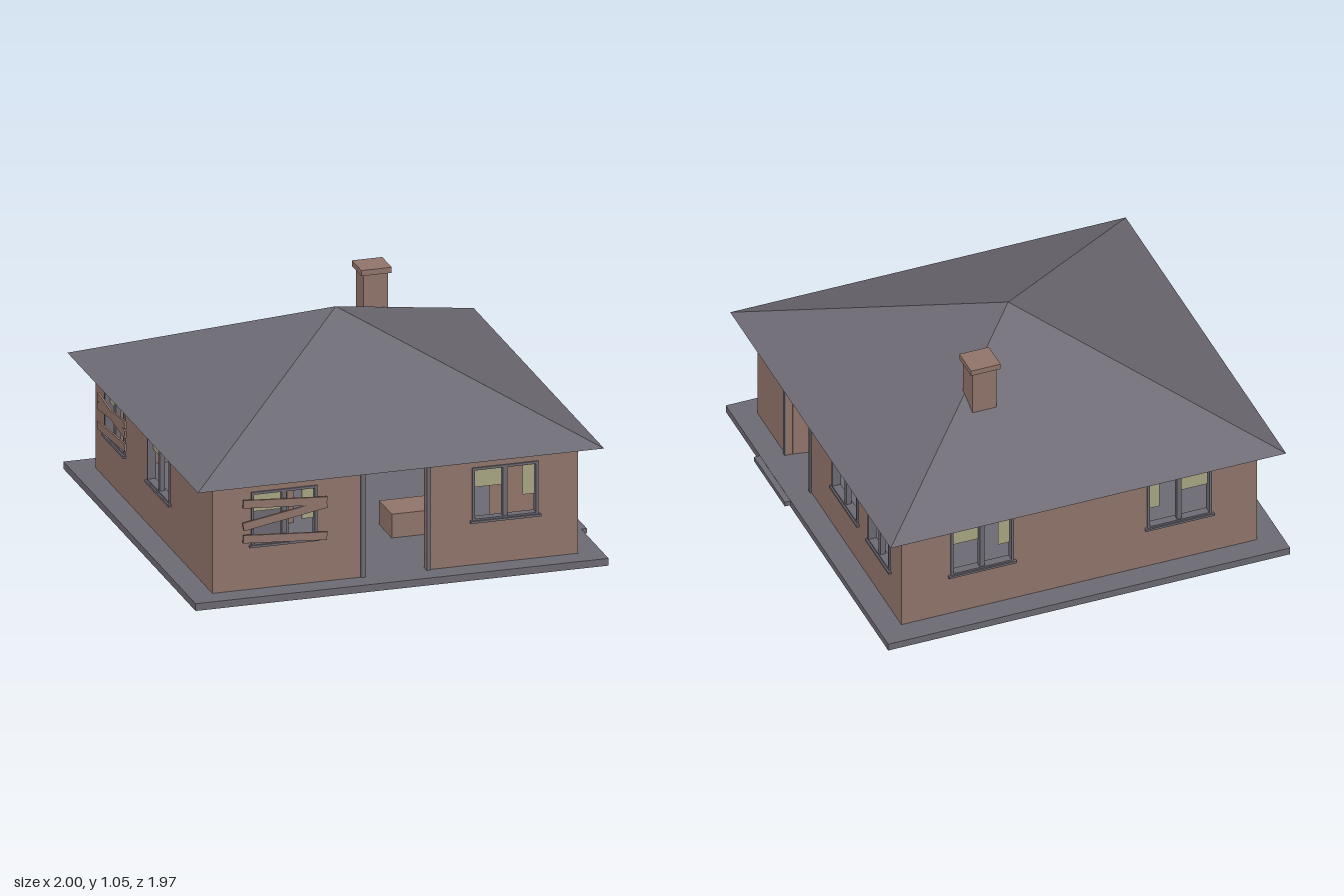
import * as THREE from 'three';

const mat = (name, color, side = THREE.FrontSide) => {
  const m = new THREE.MeshStandardMaterial({ color, side });
  m.name = name;
  return m;
};

const FLOOR = 0.035, EAVE = 0.565, T = 0.03;
const WIN_LOW = 0.25, WIN_TOP = 0.505, DOOR_TOP = 0.545;

export function createModel() {
  const grey = mat('slate grey', 0x6c6972);
  const brown = mat('wall brown', 0x90746a);
  const olive = mat('blind olive', 0xa8a582, THREE.DoubleSide);

  const house = new THREE.Group();
  house.name = 'house';

  // box given by its min and max on each axis
  const box = (parent, name, m, x0, x1, y0, y1, z0, z1) => {
    const mesh = new THREE.Mesh(new THREE.BoxGeometry(x1 - x0, y1 - y0, z1 - z0), m);
    mesh.position.set((x0 + x1) / 2, (y0 + y1) / 2, (z0 + z1) / 2);
    mesh.name = name;
    parent.add(mesh);
    return mesh;
  };

  // window in a wall's own frame: u runs to the right seen from outside, z points out
  const addWindow = (wall, u0, u1, mirrored) => {
    const g = new THREE.Group();
    g.name = 'window';
    wall.add(g);
    const f = 0.012, mid = (u0 + u1) / 2, z0 = -T - 0.004, z1 = 0.007;
    box(g, 'frameLeft', grey, u0, u0 + f, WIN_LOW, WIN_TOP, z0, z1);
    box(g, 'frameRight', grey, u1 - f, u1, WIN_LOW, WIN_TOP, z0, z1);
    box(g, 'frameTop', grey, u0 + f, u1 - f, WIN_TOP - f, WIN_TOP, z0, z1);
    box(g, 'frameBottom', grey, u0 + f, u1 - f, WIN_LOW, WIN_LOW + 0.008, z0, z1);
    box(g, 'mullion', grey, mid - 0.011, mid + 0.011, WIN_LOW + 0.008, WIN_TOP - f, -0.024, 0.002);
    box(g, 'sill', grey, u0 - 0.011, u1 + 0.011, WIN_LOW - 0.011, WIN_LOW, -T, 0.015);
    // wide short blind in one half, narrow long one at the other end
    const blind = (a, b, low) => {
      const [p, q] = mirrored ? [u0 + u1 - b, u0 + u1 - a] : [a, b];
      box(g, 'blind', olive, p, q, low, WIN_TOP - f, -0.022, -0.018);
    };
    blind(u0 + f, mid - 0.011, 0.403);
    blind(u1 - f - 0.056, u1 - f, 0.342);
  };

  // door frame with the leaf swung inwards
  const addDoor = (wall, u0, u1, angle) => {
    const g = new THREE.Group();
    g.name = 'door';
    wall.add(g);
    const f = 0.02, z0 = -T - 0.006, z1 = 0.008;
    box(g, 'jambLeft', grey, u0 - f, u0, FLOOR, EAVE, z0, z1);
    box(g, 'jambRight', grey, u1, u1 + f, FLOOR, EAVE, z0, z1);
    box(g, 'lintel', grey, u0, u1, DOOR_TOP, EAVE, z0, z1);
    const hinge = new THREE.Group();
    hinge.name = 'doorLeafHinge';
    hinge.position.set(u0 + 0.006, 0, -T);
    hinge.rotation.y = angle;
    g.add(hinge);
    box(hinge, 'doorLeaf', brown, 0, u1 - u0 - 0.02, FLOOR + 0.003, 0.522, -0.014, 0);
  };

  // plank nailed over a window, from its left to its right height
  const addPlank = (wall, u0, u1, yLeft, yRight) => {
    const len = Math.hypot(u1 - u0, yRight - yLeft);
    const plank = box(wall, 'plank', brown, -len / 2, len / 2, -0.019, 0.019, -0.005, 0.005);
    plank.position.set((u0 + u1) / 2, (yLeft + yRight) / 2, 0.02);
    plank.rotation.z = Math.atan2(yRight - yLeft, u1 - u0);
  };

  // wall with openings cut out, outer face on local z = 0
  const addWall = (name, pos, turn, u0, u1, windows, door, planks = []) => {
    const g = new THREE.Group();
    g.name = name;
    g.position.set(...pos);
    g.rotation.y = turn;
    house.add(g);
    const s = new THREE.Shape();
    s.moveTo(u0, FLOOR);
    if (door) {
      s.lineTo(door[0], FLOOR);
      s.lineTo(door[0], DOOR_TOP);
      s.lineTo(door[1], DOOR_TOP);
      s.lineTo(door[1], FLOOR);
    }
    s.lineTo(u1, FLOOR);
    s.lineTo(u1, EAVE);
    s.lineTo(u0, EAVE);
    s.closePath();
    for (const [a, b] of windows) {
      const h = new THREE.Path();
      h.moveTo(a, WIN_LOW);
      h.lineTo(a, WIN_TOP);
      h.lineTo(b, WIN_TOP);
      h.lineTo(b, WIN_LOW);
      h.closePath();
      s.holes.push(h);
    }
    const geo = new THREE.ExtrudeGeometry(s, { depth: T, bevelEnabled: false });
    geo.translate(0, 0, -T);
    const mesh = new THREE.Mesh(geo, brown);
    mesh.name = name + 'Panel';
    g.add(mesh);
    windows.forEach((w) => addWindow(g, ...w));
    if (door) addDoor(g, ...door);
    planks.forEach((p) => addPlank(g, ...p));
  };

  addWall('frontWall', [0, 0, 0.88], 0, -0.885, 0.86,
    [[-0.7, -0.385], [0.355, 0.67]], [-0.158, 0.136, 1.26],
    [[-0.745, -0.345, 0.458, 0.432], [-0.745, -0.345, 0.348, 0.418], [-0.745, -0.345, 0.289, 0.262]]);
  addWall('leftWall', [0.86, 0, 0], Math.PI / 2, -0.85, 0.84,
    [[0.037, 0.35], [0.477, 0.737]], [-0.53, -0.24, 1.38]);
  addWall('backWall', [0, 0, -0.87], Math.PI, -0.86, 0.885,
    [[-0.62, -0.31], [0.345, 0.66, true]], null);
  addWall('rightWall', [-0.885, 0, 0], -Math.PI / 2, -0.84, 0.85,
    [[-0.72, -0.42], [-0.08, 0.255]], null,
    [[-0.765, -0.36, 0.375, 0.42], [-0.765, -0.36, 0.42, 0.372], [-0.765, -0.36, 0.28, 0.31]]);

  // ground slab and side step
  box(house, 'slab', grey, -1, 0.972, 0, FLOOR, -0.987, 0.987);
  box(house, 'step', grey, 0.972, 1, 0.01, 0.033, 0.2, 0.575);

  // four-sided hipped roof, closed underneath
  const roofGeo = new THREE.ConeGeometry(Math.SQRT2, 1.022 - EAVE, 4).toNonIndexed();
  roofGeo.rotateY(Math.PI / 4);
  roofGeo.scale(0.97, 1, 0.975);
  roofGeo.computeVertexNormals();
  const roof = new THREE.Mesh(roofGeo, grey);
  roof.name = 'roof';
  roof.position.set(-0.015, (1.022 + EAVE) / 2, 0);
  house.add(roof);

  // chimney
  box(house, 'chimneyShaft', brown, 0.227, 0.345, 0.75, 1.03, -0.457, -0.345);
  box(house, 'chimneyCap', brown, 0.212, 0.357, 1.028, 1.055, -0.47, -0.328);

  // inner wall and furniture
  box(house, 'partition', brown, -0.28, -0.25, FLOOR, EAVE, -0.84, 0.1);
  box(house, 'cabinet', grey, -0.25, -0.18, FLOOR, 0.375, -0.34, -0.196);
  box(house, 'sofaSeat', brown, 0.115, 0.4, FLOOR, 0.15, 0.24, 0.43);
  box(house, 'sofaBack', brown, 0.36, 0.44, FLOOR, 0.22, 0.24, 0.43);
  box(house, 'sideboard', grey, -0.6, -0.4, FLOOR, 0.27, 0.36, 0.5);

  return house;
}
